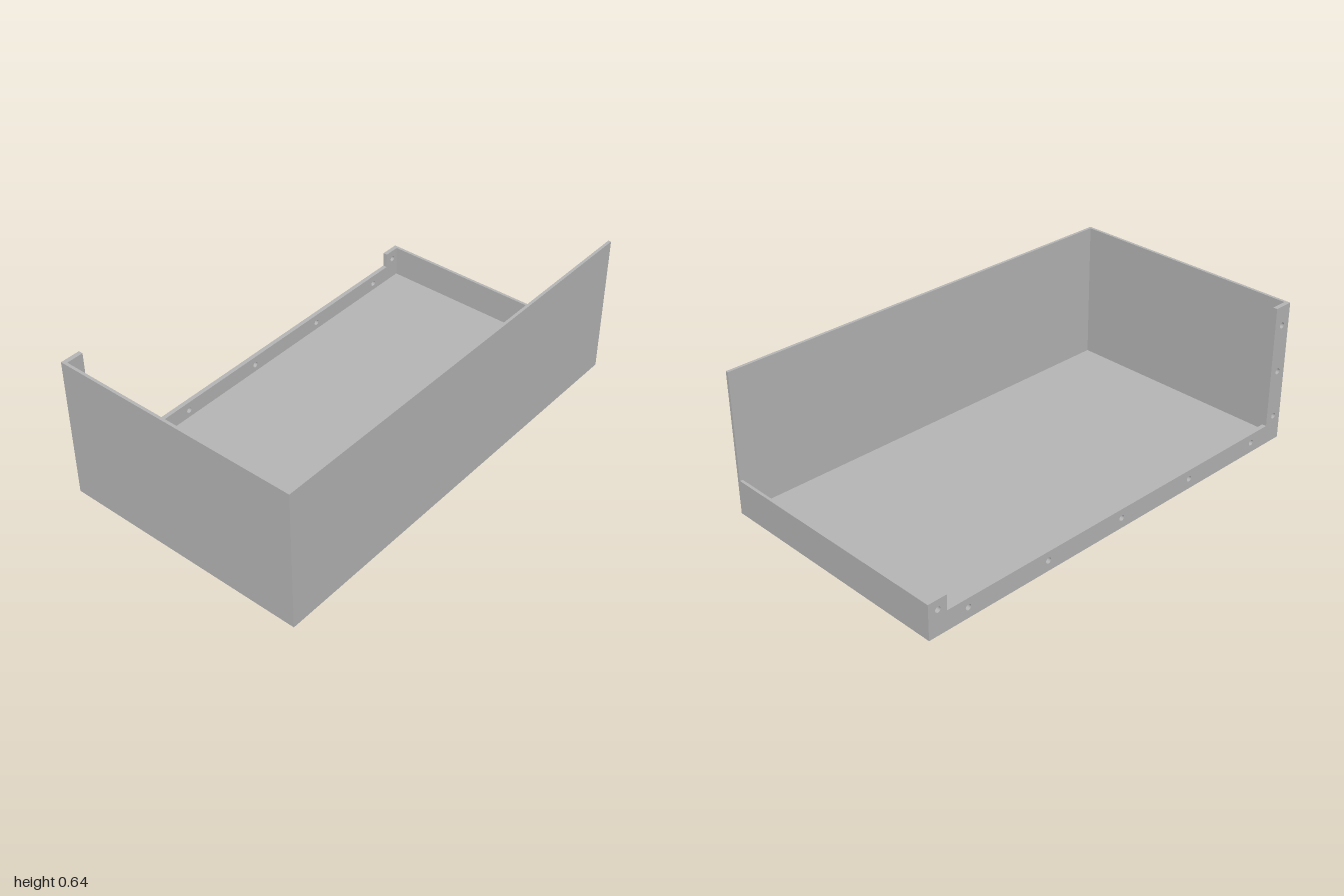
import * as THREE from 'three';

const W = 0.563, L = 1, H = 0.64;   // half width, half length, full height
const LOW = 0.157;                  // height of the low back wall
const T = 0.013, FT = 0.02;         // sheet and flange thickness
const FW = 0.088;                   // flange width

export function createModel() {
  const group = new THREE.Group();
  const grey = new THREE.MeshStandardMaterial({ color: 0xb4b4b4 });
  grey.name = 'plain grey';

  // box given by its minimum and maximum corners
  const box = (name, a, b) => {
    const geo = new THREE.BoxGeometry(b[0] - a[0], b[1] - a[1], b[2] - a[2]);
    const mesh = new THREE.Mesh(geo, grey);
    mesh.name = name;
    mesh.position.set((a[0] + b[0]) / 2, (a[1] + b[1]) / 2, (a[2] + b[2]) / 2);
    group.add(mesh);
  };

  // tray sheets
  const x0 = -W + FT, x1 = W - T;
  box('floor', [x0, 0, -L + T], [x1, T, L - T]);
  box('frontWall', [x0, 0, L - T], [x1, H, L]);
  box('backWall', [x0, 0, -L], [x1, LOW, -L + T]);
  box('leftWall', [x1, 0, -L], [W, H, L]);

  // U-shaped mounting flange on the open side, drawn in (z, y)
  const outline = [
    [-L, 0], [L, 0], [L, H], [L - FW, H], [L - FW, FW],
    [-L + FW, FW], [-L + FW, LOW], [-L, LOW],
  ].map(([z, y]) => new THREE.Vector2(z, y));
  const shape = new THREE.Shape(outline);

  // screw holes
  const holes = [[-0.955, 0.113], [0.957, 0.12], [0.957, 0.335], [0.957, 0.55]];
  for (let i = -2; i <= 2; i++) holes.push([i * 0.406, 0.047]);
  for (const [z, y] of holes) {
    shape.holes.push(new THREE.Path().absarc(z, y, 0.013, 0, Math.PI * 2, true));
  }
  const flangeGeo = new THREE.ExtrudeGeometry(shape, { depth: FT, bevelEnabled: false, curveSegments: 16 });
  flangeGeo.rotateY(-Math.PI / 2);
  const flange = new THREE.Mesh(flangeGeo, grey);
  flange.name = 'mountingFlange';
  flange.position.x = x0;
  group.add(flange);

  return group;
}
